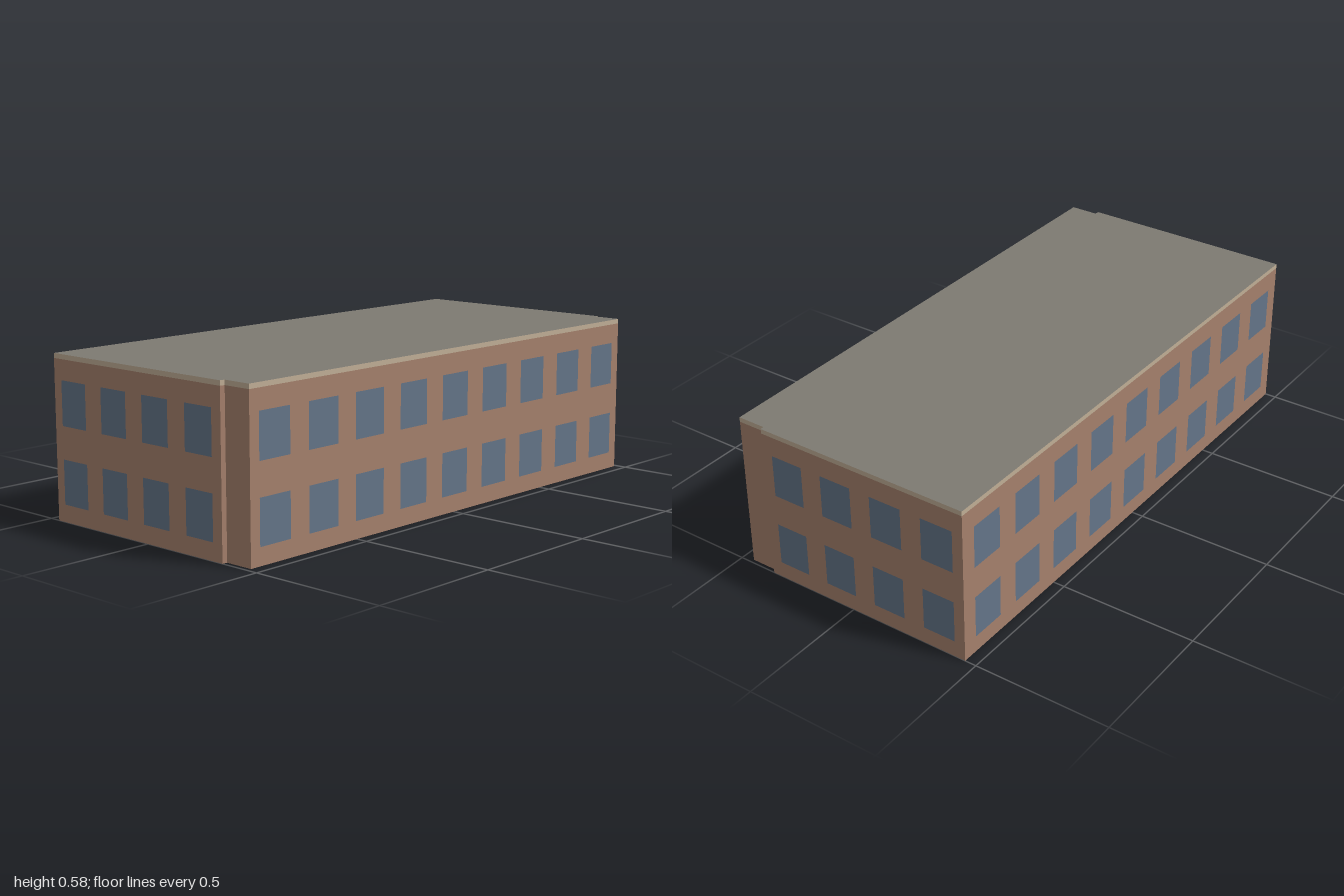
import * as THREE from 'three';

const material = (name, color, side = THREE.DoubleSide) => {
  const m = new THREE.MeshStandardMaterial({ color, side });
  m.name = name;
  return m;
};

// Footprint [x, z], counter-clockwise seen from above; the +x corners step in
const FOOTPRINT = [
  [-0.458, 1], [0.35, 1], [0.352, 0.982], [0.458, 0.982],
  [0.458, -0.986], [0.354, -0.986], [0.352, -1], [-0.458, -1],
];
const HEIGHT = 0.577, BAND_BOTTOM = 0.56;

// Open shell of upright faces along the footprint
function wallStrip(y0, y1) {
  const pos = [], index = [];
  FOOTPRINT.forEach(([x, z], i) => {
    const [x2, z2] = FOOTPRINT[(i + 1) % FOOTPRINT.length];
    const k = i * 4;
    pos.push(x, y0, z, x2, y0, z2, x2, y1, z2, x, y1, z);
    index.push(k, k + 1, k + 2, k, k + 2, k + 3);
  });
  const g = new THREE.BufferGeometry();
  g.setAttribute('position', new THREE.Float32BufferAttribute(pos, 3));
  g.setIndex(index);
  g.computeVertexNormals();
  return g;
}

export function createModel() {
  const brick = material('brick', 0xa5806c);
  const trim = material('trim', 0xc0ae96);
  const roofing = material('roofing', 0x7d7a72);
  const glass = material('glass', 0x647588, THREE.FrontSide);

  const model = new THREE.Group();
  model.name = 'building';
  const add = (name, geometry, mat, parent = model) => {
    const mesh = new THREE.Mesh(geometry, mat);
    mesh.name = name;
    parent.add(mesh);
    return mesh;
  };

  // Hollow walls, open at the bottom, with a trim band under the roof
  add('walls', wallStrip(0, BAND_BOTTOM), brick);
  add('trimBand', wallStrip(BAND_BOTTOM, HEIGHT), trim);

  // Flat roof
  const outline = new THREE.Shape(FOOTPRINT.map(([x, z]) => new THREE.Vector2(x, -z)));
  const roof = add('roof', new THREE.ShapeGeometry(outline).rotateX(-Math.PI / 2), roofing);
  roof.position.y = HEIGHT;

  // Two floors of windows on every side
  const windows = new THREE.Group();
  windows.name = 'windows';
  model.add(windows);
  const endPane = new THREE.PlaneGeometry(0.123, 0.156);
  const sidePane = new THREE.PlaneGeometry(0.135, 0.156);
  const gap = 0.002;
  const addWindow = (name, pane, x, y, z, turn) => {
    const w = add(name, pane, glass, windows);
    w.position.set(x, y, z);
    w.rotation.y = turn;
  };
  for (const y of [0.14, 0.411]) {
    for (let i = 0; i < 4; i++) {
      const x = -0.358 + i * 0.2025;
      addWindow('frontWindow', endPane, x, y, 1 + gap, 0);
      addWindow('backWindow', endPane, x, y, -1 - gap, Math.PI);
    }
    for (let i = -4; i <= 4; i++) {
      const z = i * 0.219;
      addWindow('leftWindow', sidePane, 0.458 + gap, y, z, Math.PI / 2);
      addWindow('rightWindow', sidePane, -0.458 - gap, y, z, -Math.PI / 2);
    }
  }
  return model;
}
